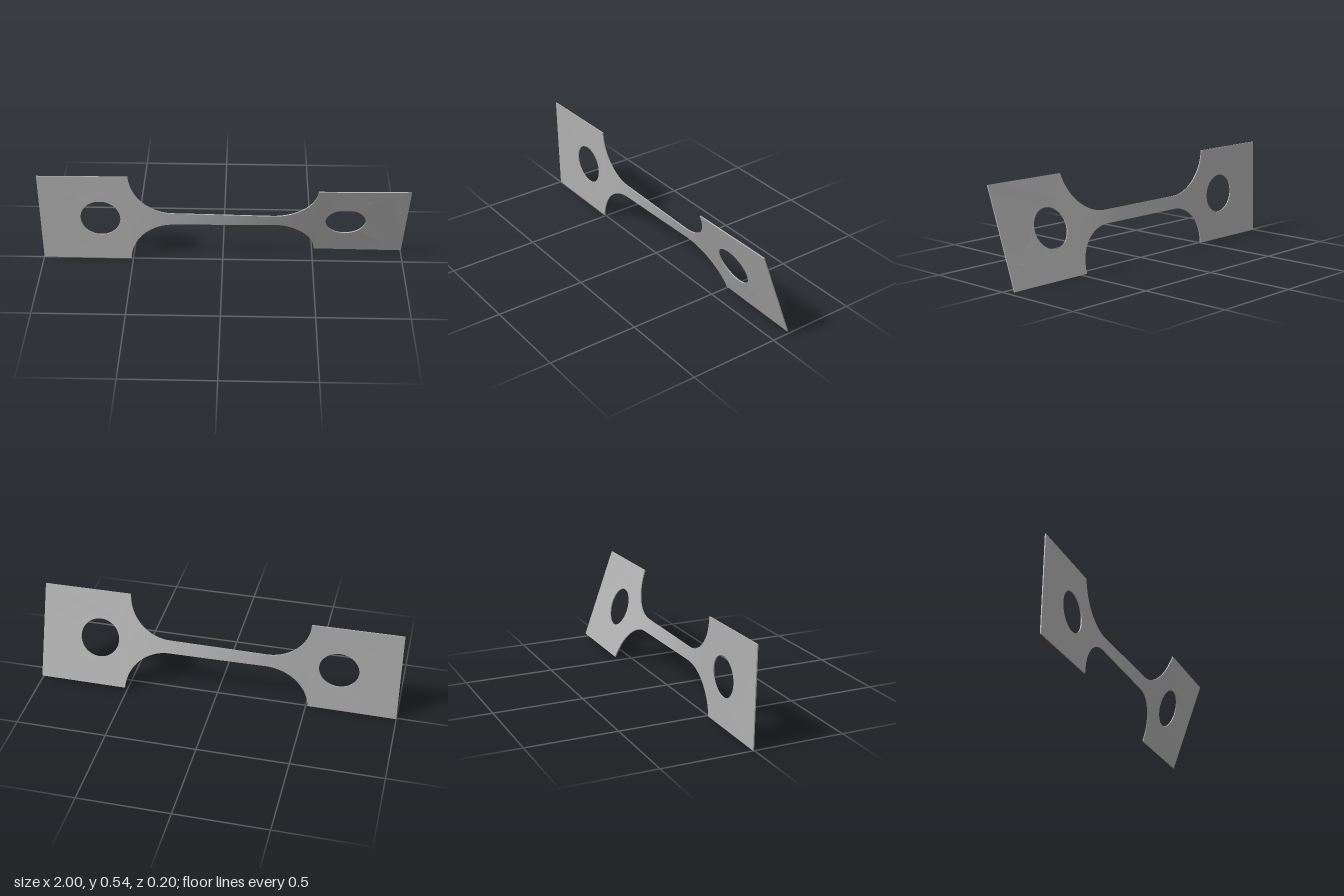
import * as THREE from 'three';
import { toCreasedNormals } from 'three/addons/utils/BufferGeometryUtils.js';

const MID = 0.27;        // height of the long axis, also half the plate height
const NECK = 0.037;      // half height of the slim neck
const SHOULDER = 0.51;   // x where the fillets meet the end plates
const FILLET = 0.24;
const THICK = 0.006;

// Twist angle in degrees along x; the slim neck takes most of it
const TWIST = [[-1, 1], [-0.51, 0], [-0.4, 0.7], [-0.27, 2.8], [0.27, 18.2], [0.4, 20.3], [0.51, 21], [1, 20]];

function twistAt(x) {
  for (let i = 1; i < TWIST.length; i++) {
    const [x0, a0] = TWIST[i - 1], [x1, a1] = TWIST[i];
    if (x <= x1 || i === TWIST.length - 1) {
      return THREE.MathUtils.degToRad(a0 + (a1 - a0) * (x - x0) / (x1 - x0));
    }
  }
}

// Turn every vertex about the long axis and lift it to its height
function applyTwist(geometry) {
  const p = geometry.attributes.position;
  for (let i = 0; i < p.count; i++) {
    const a = twistAt(p.getX(i)), y = p.getY(i), z = p.getZ(i);
    p.setY(i, MID + y * Math.cos(a) - z * Math.sin(a));
    p.setZ(i, y * Math.sin(a) + z * Math.cos(a));
  }
  geometry.computeVertexNormals();
  return toCreasedNormals(geometry, Math.PI / 6);
}

// Half height of the neck with its round fillets
function halfHeight(x) {
  const d = Math.max(0, Math.abs(x) - (SHOULDER - FILLET));
  const h = NECK + FILLET - Math.sqrt(Math.max(0, FILLET * FILLET - d * d));
  return Math.min(h, MID);
}

// Square end plate with a round hole
function plateGeometry(side) {
  const a = side < 0 ? -1 : SHOULDER, b = side < 0 ? -SHOULDER : 1;
  const shape = new THREE.Shape();
  shape.moveTo(a, -MID).lineTo(b, -MID).lineTo(b, MID).lineTo(a, MID).closePath();
  const hole = new THREE.Path();
  hole.absarc(side * 0.67, 0, 0.109, 0, Math.PI * 2, true);
  shape.holes.push(hole);
  const g = new THREE.ExtrudeGeometry(shape, { depth: THICK, bevelEnabled: false, curveSegments: 48 });
  return applyTwist(g.translate(0, 0, -THICK / 2));
}

// Neck strip: a box whose columns follow the fillet outline
function neckGeometry() {
  const g = new THREE.BoxGeometry(2, 2, THICK, 96, 4, 1);
  // drop the two end caps, which would sit against the plates
  g.setIndex(Array.from(g.index.array).slice(g.groups[2].start));
  g.clearGroups();
  const p = g.attributes.position;
  for (let i = 0; i < p.count; i++) {
    const x = SHOULDER * Math.sin(p.getX(i) * Math.PI / 2);
    p.setX(i, x);
    p.setY(i, p.getY(i) * halfHeight(x));
  }
  return applyTwist(g);
}

export function createModel() {
  const group = new THREE.Group();
  group.name = 'twistedTensileBar';
  const steel = new THREE.MeshStandardMaterial({ color: 0xb0b0b0 });
  steel.name = 'grey steel';

  const add = (name, geometry) => {
    const mesh = new THREE.Mesh(geometry, steel);
    mesh.name = name;
    group.add(mesh);
  };
  add('rightEndPlate', plateGeometry(-1));
  add('leftEndPlate', plateGeometry(1));
  add('neck', neckGeometry());
  return group;
}
